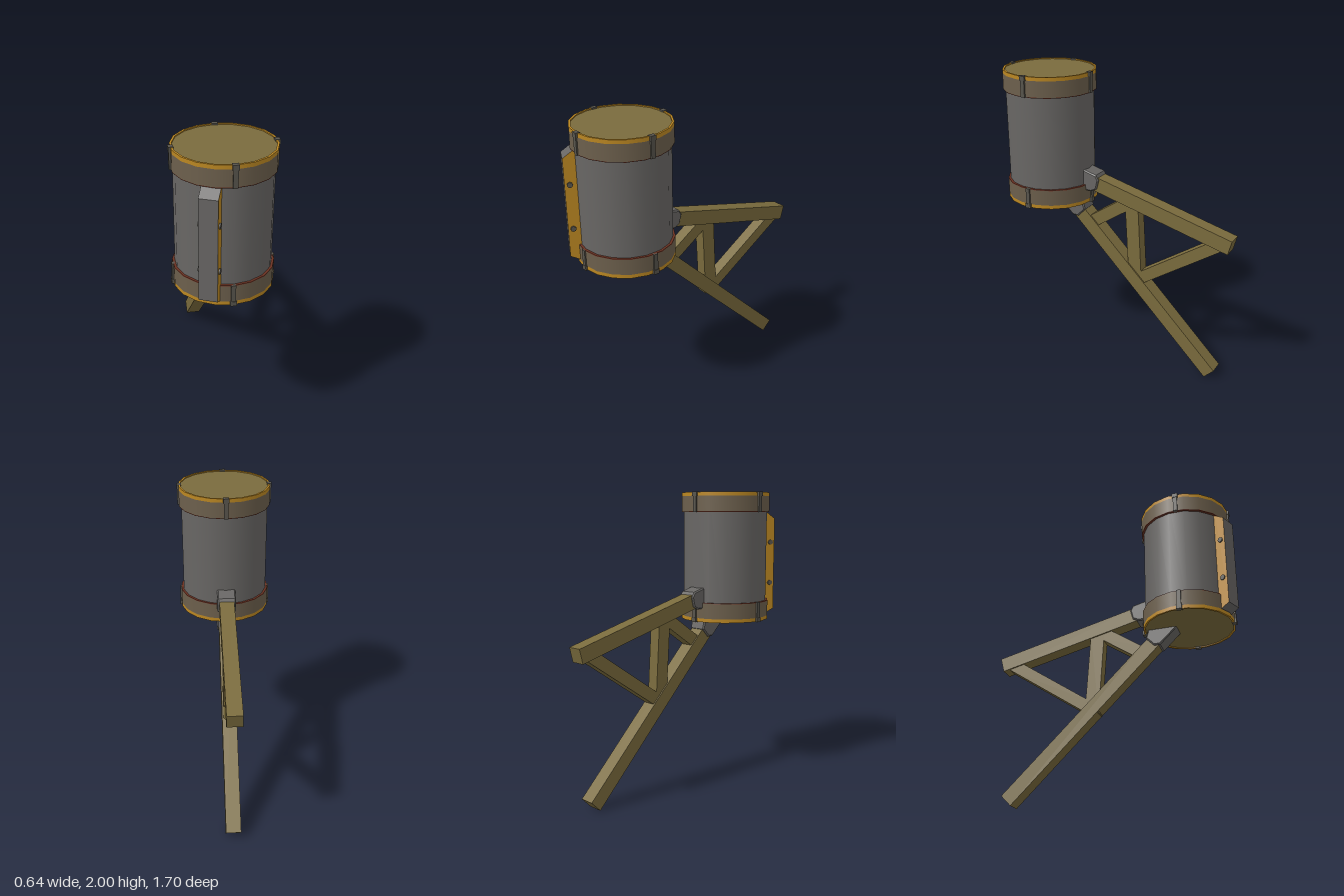
import * as THREE from 'three';

const mat = (name, color) => {
  const m = new THREE.MeshStandardMaterial({ color });
  m.name = name;
  return m;
};

export function createModel() {
  const steel = mat('grey steel', 0x686664);
  const wood = mat('olive wood', 0x7a6b3d);
  const brown = mat('brown band', 0x6c5f4c);
  const gold = mat('gold trim', 0xbb8722);
  const red = mat('dark red lip', 0x6b3222);
  const clipGrey = mat('clip metal', 0x57544c);

  const model = new THREE.Group();
  const add = (name, geometry, material, parent = model) => {
    const mesh = new THREE.Mesh(geometry, material);
    mesh.name = name;
    parent.add(mesh);
    return mesh;
  };

  // Drum, built from straight revolved strips so every rim stays sharp
  const drum = new THREE.Group();
  drum.name = 'drum';
  drum.position.set(0, 1.555, 0.505);
  model.add(drum);
  const strip = (name, material, s, ...pts) => {
    const p = pts.map(([r, y]) => new THREE.Vector2(r, y * s));
    if (s < 0) p.reverse();
    return add(name, new THREE.LatheGeometry(p, 18), material, drum);
  };
  strip('drumShell', steel, 1, [0.294, -0.43], [0.294, 0.43]);

  for (const s of [1, -1]) {
    const end = s > 0 ? 'top' : 'bottom';
    strip(end + 'BandLip', red, s, [0.29, 0.308], [0.309, 0.308]);
    strip(end + 'BandEdge', red, s, [0.309, 0.308], [0.31, 0.313]);
    strip(end + 'Band', brown, s, [0.31, 0.313], [0.309, 0.417]);
    strip(end + 'RimSide', gold, s, [0.309, 0.417], [0.309, 0.442]);
    strip(end + 'RimFace', gold, s, [0.309, 0.442], [0.296, 0.442]);
    strip(end + 'RimInside', gold, s, [0.296, 0.442], [0.296, 0.434]);
    strip(end + 'Head', wood, s, [0.297, 0.435], [0, 0.435]);

    // Four clips hooked over each rim
    for (let i = 0; i < 4; i++) {
      const clip = new THREE.Group();
      clip.name = end + 'Clip';
      clip.rotation.y = (i * Math.PI) / 2;
      drum.add(clip);
      const arm = add('clipArm', new THREE.BoxGeometry(0.028, 0.137, 0.02), clipGrey, clip);
      arm.position.set(0, s * 0.3765, 0.306);
      const hook = add('clipHook', new THREE.BoxGeometry(0.038, 0.03, 0.03), clipGrey, clip);
      hook.position.set(0, s * 0.43, 0.304);
    }
  }

  // Extrudes a [z, y] outline along x, centred on x = 0
  const slab = (outline, width, bevel = 0) => {
    const shape = new THREE.Shape(outline.map(([z, y]) => new THREE.Vector2(z, y)));
    const depth = width - 2 * bevel;
    const g = new THREE.ExtrudeGeometry(shape, {
      depth, bevelEnabled: bevel > 0, bevelSize: bevel, bevelOffset: -bevel,
      bevelThickness: bevel, bevelSegments: 1,
    });
    return g.translate(0, 0, -depth / 2).rotateY(-Math.PI / 2);
  };

  // Side box with gold cheeks and bolts
  const box = new THREE.Group();
  box.name = 'sideBox';
  box.rotation.y = -0.435;
  drum.add(box);
  add('sideBoxBody',
    slab([[0.27, -0.42], [0.3, -0.415], [0.36, -0.385], [0.36, 0.262], [0.3, 0.305], [0.27, 0.31]], 0.112),
    [gold, steel], box);
  for (const x of [-0.057, 0.057]) {
    for (const y of [0.095, -0.195]) {
      const bolt = add('boxBolt', new THREE.CylinderGeometry(0.018, 0.018, 0.016, 8), clipGrey, box);
      bolt.rotation.z = Math.PI / 2;
      bolt.position.set(x, y, 0.328);
    }
  }

  // Brackets holding the drum
  add('upperBracket', slab([[0.26, 1.205], [0.165, 1.205], [0.127, 1.225], [0.11, 1.29],
    [0.13, 1.325], [0.217, 1.348], [0.26, 1.352]], 0.125, 0.008), steel);
  add('lowerBracket', slab([[0.435, 1.125], [0.315, 1.005], [0.272, 1.005], [0.217, 1.062],
    [0.235, 1.125]], 0.125, 0.008), steel);

  // Timber frame: each beam runs between two [z, y] points
  const beam = (name, [z0, y0], [z1, y1], thick, width) => {
    const dz = z1 - z0, dy = y1 - y0;
    const mesh = add(name, new THREE.BoxGeometry(width, thick, Math.hypot(dz, dy)), wood);
    mesh.position.set(0, (y0 + y1) / 2, (z0 + z1) / 2);
    mesh.rotation.x = Math.atan2(-dy, dz);
  };
  beam('upperBeam', [0.16, 1.264], [-0.832, 1.007], 0.1, 0.1);
  beam('lowerStrut', [0.27, 1.04], [-0.741, 0.035], 0.096, 0.1);
  beam('shortBrace', [0.16, 0.985], [-0.1, 1.16], 0.085, 0.08);
  beam('uprightBrace', [-0.13, 1.16], [-0.165, 0.582], 0.096, 0.08);
  beam('longBrace', [-0.19, 0.625], [-0.75, 1.0], 0.082, 0.08);

  return model;
}
